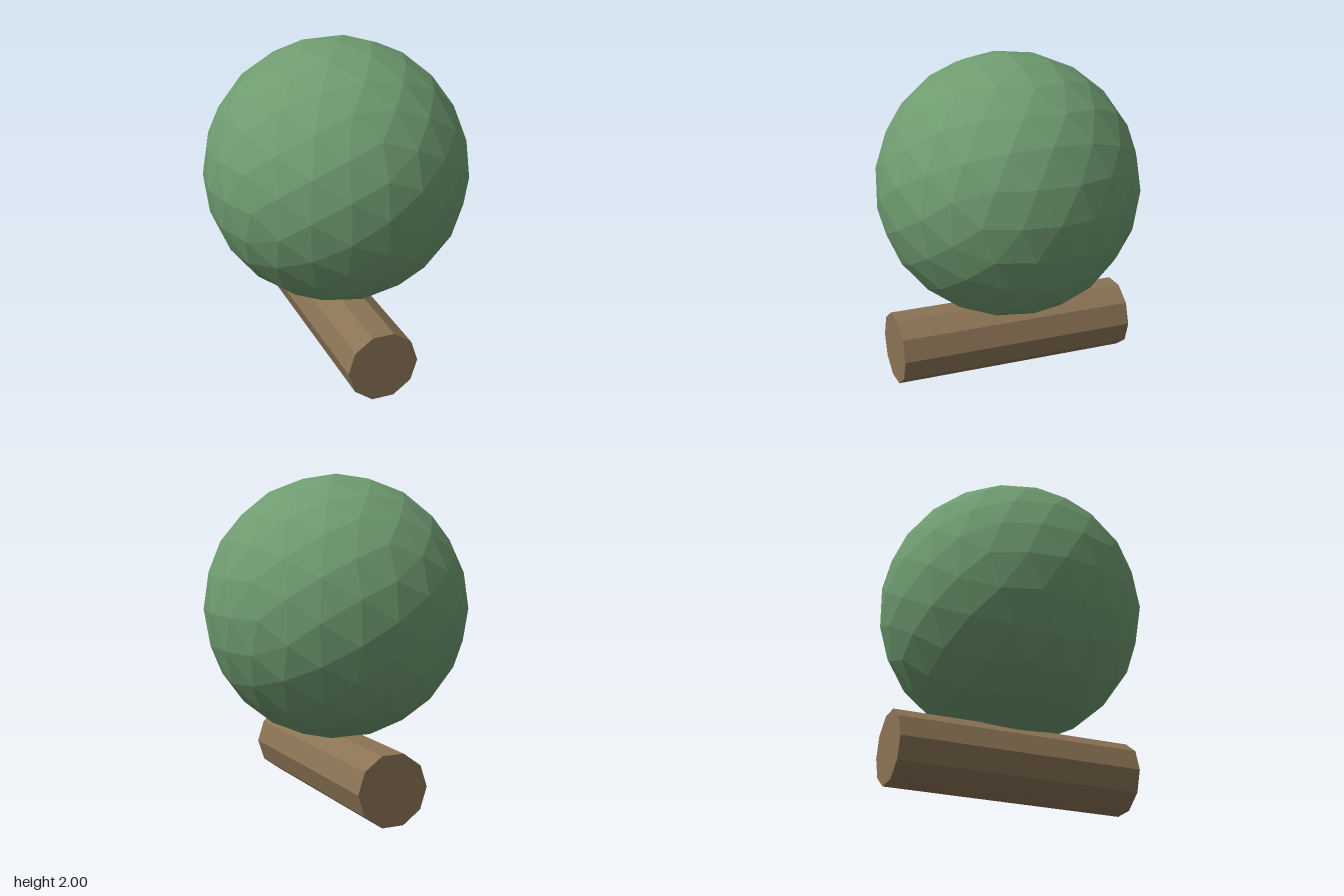
import * as THREE from 'three';

// Icosphere made by repeatedly halving every edge and pushing it out to the radius
function icosphere(radius, passes) {
  let geometry = new THREE.IcosahedronGeometry(radius, 0);
  for (let i = 0; i < passes; i++) {
    const points = Array.from(geometry.attributes.position.array);
    const corners = Array.from({ length: points.length / 3 }, (_, k) => k);
    geometry = new THREE.PolyhedronGeometry(points, corners, radius, 1);
  }
  geometry.computeVertexNormals();
  return geometry;
}

function part(name, geometry, color) {
  const material = new THREE.MeshStandardMaterial({ color, flatShading: true });
  const mesh = new THREE.Mesh(geometry, material);
  mesh.name = name;
  return mesh;
}

export function createModel() {
  const model = new THREE.Group();
  model.name = 'tree';

  // Round foliage, its underside sunk slightly into the log
  const foliageRadius = 0.81;
  const foliage = part('foliage', icosphere(foliageRadius, 2), 0x6f9b70);
  foliage.position.y = 2 - foliageRadius;
  model.add(foliage);

  // Ten-sided log lying along z, resting on a flat facet
  const logRadius = 0.222;
  const logGeometry = new THREE.CylinderGeometry(logRadius, logRadius, 1.5, 10);
  logGeometry.rotateY(Math.PI / 2); // corners on the x axis
  logGeometry.rotateX(Math.PI / 2);
  const trunk = part('trunk', logGeometry, 0x8b7355);
  trunk.position.y = logRadius * Math.sin(Math.PI * 0.4);
  model.add(trunk);

  return model;
}
